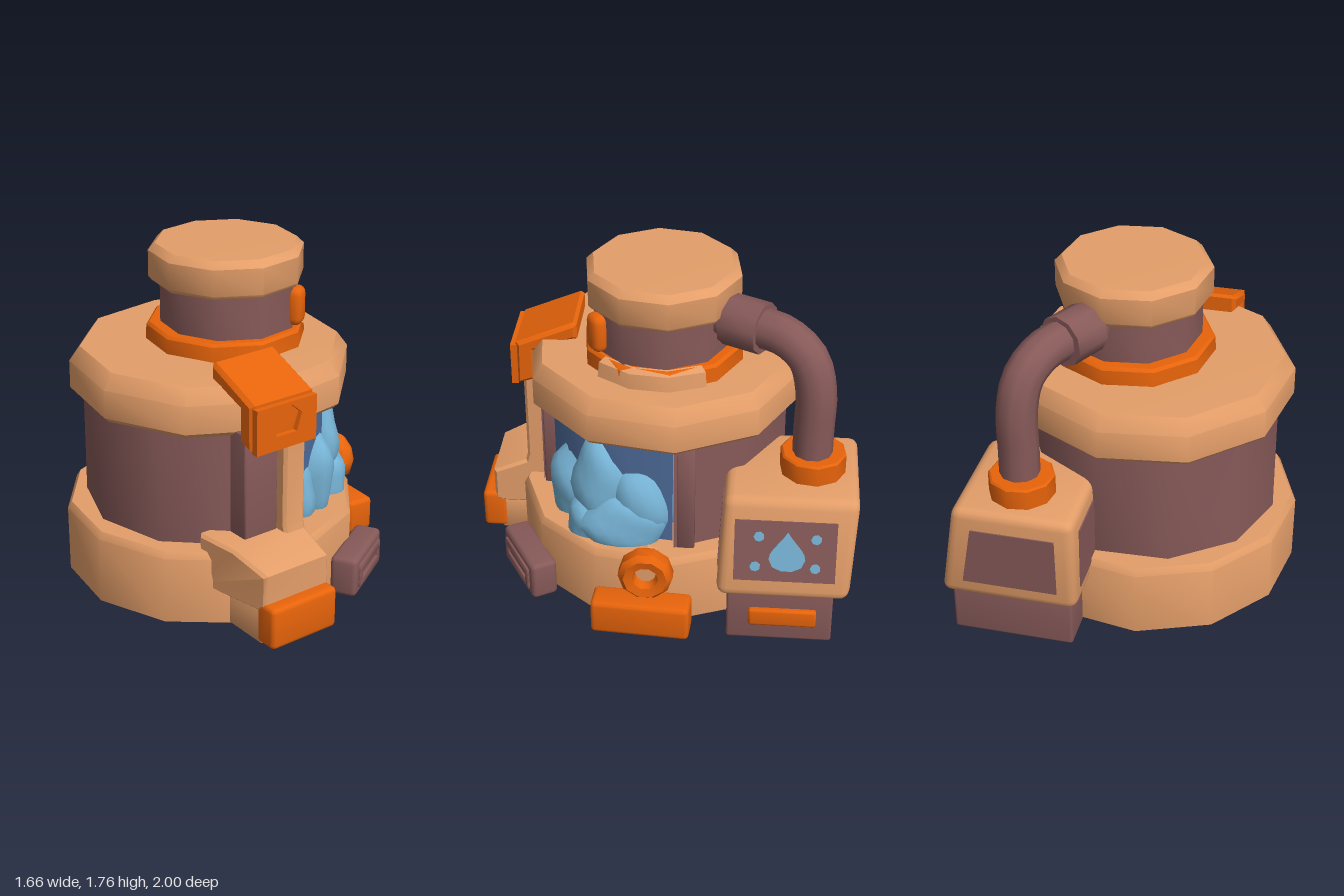
import * as THREE from 'three';
import { toCreasedNormals } from 'three/addons/utils/BufferGeometryUtils.js';
import { RoundedBoxGeometry } from 'three/addons/geometries/RoundedBoxGeometry.js';

const paint = (name, color, side = THREE.FrontSide) => {
  const m = new THREE.MeshStandardMaterial({ color, side });
  m.name = name;
  return m;
};
const rad = THREE.MathUtils.degToRad;

export function createModel() {
  const tan = paint('tan', 0xe49e69);
  const orange = paint('orange', 0xe8640b);
  const brown = paint('brown', 0x875a59);
  const brownWall = paint('brownWall', 0x875a59, THREE.DoubleSide);
  const ice = paint('iceBlue', 0x77b4d6);
  const deepBlue = paint('deepBlue', 0x506e9e);
  const model = new THREE.Group();

  const add = (name, geo, mat, x = 0, y = 0, z = 0, parent = model) => {
    const mesh = new THREE.Mesh(toCreasedNormals(geo, 0.7), mat);
    mesh.name = name;
    mesh.position.set(x, y, z);
    parent.add(mesh);
    return mesh;
  };
  const box = (name, mat, w, h, d, x, y, z, r = 0.025, parent = model) =>
    add(name, r ? new RoundedBoxGeometry(w, h, d, 2, r) : new THREE.BoxGeometry(w, h, d), mat, x, y, z, parent);
  // Many-sided turned part from [radius, y] points, listed bottom to top
  const turned = (name, mat, pts, x, z, start = 26, sweep = 360, sides = 10) =>
    add(name, new THREE.LatheGeometry(pts.map(p => new THREE.Vector2(...p)), sides, rad(start), rad(sweep)), mat, x, 0, z);
  // Side profile of [z, y] points extruded from x0 to x1
  const sideProfile = (pts, x0, x1, bevel = 0.015) => {
    const shape = new THREE.Shape(pts.map(p => new THREE.Vector2(...p)));
    const g = new THREE.ExtrudeGeometry(shape, {
      depth: x1 - x0 - 2 * bevel, bevelEnabled: true, bevelSize: bevel, bevelThickness: bevel, bevelOffset: -bevel, bevelSegments: 1
    });
    return g.rotateY(-Math.PI / 2).translate(x1 - bevel, 0, 0);
  };

  // Main vessel
  const cx = -0.08;
  turned('base', tan, [[0, 0.02], [0.755, 0.02], [0.757, 0.37], [0.735, 0.405], [0, 0.405]], cx, 0, 6, 360, 12);
  turned('shoulderRing', tan, [[0, 1.0], [0.69, 1.0], [0.715, 1.025], [0.715, 1.17], [0.66, 1.245], [0, 1.255]], cx, 0);
  turned('bodyWall', brownWall, [[0.65, 0.38], [0.65, 1.02]], cx, 0, 98, 270, 8);
  turned('collar', orange, [[0, 1.22], [0.41, 1.22], [0.405, 1.325], [0.39, 1.34], [0, 1.34]], 0.02, 0);
  turned('collarGuard', tan, [[0.38, 1.22], [0.425, 1.22], [0.412, 1.325], [0.37, 1.343]], 0.02, 0, 44, 80, 3);
  turned('neck', brown, [[0, 1.3], [0.352, 1.3], [0.352, 1.6], [0, 1.6]], 0.035, 0.01);
  turned('cap', tan, [[0, 1.56], [0.38, 1.56], [0.395, 1.58], [0.395, 1.715], [0.36, 1.75], [0, 1.757]], 0.025, 0);

  // Curved window between two posts
  turned('window', deepBlue, [[0.59, 0.39], [0.59, 1.01]], cx, 0, 8, 90, 3);
  box('frontPost', brown, 0.07, 0.62, 0.08, -0.005, 0.7, 0.595, 0.01);
  box('sidePost', brown, 0.07, 0.62, 0.09, 0.525, 0.7, -0.15, 0.01);
  add('windowSpot', new THREE.CylinderGeometry(0.032, 0.032, 0.02, 7).rotateX(Math.PI / 2), brown, 0.218, 0.88, 0.472)
    .rotation.y = rad(38);

  // Ice boulders bulging through the window
  const boulder = (x, y, z, sx, sy, sz, seed) => {
    const g = new THREE.IcosahedronGeometry(1, 3), p = g.attributes.position;
    for (let i = 0; i < p.count; i++) {
      const a = p.getX(i), b = p.getY(i), c = p.getZ(i);
      const k = 1 + 0.06 * Math.sin(4.1 * a + seed) + 0.06 * Math.sin(5.3 * b - 3 * c + seed * 2);
      p.setXYZ(i, a * k * sx, b * k * sy, c * k * sz);
    }
    add('iceBoulder', g, ice, x, y, z);
  };
  boulder(0.23, 0.56, 0.41, 0.14, 0.27, 0.155, 1);
  boulder(0.13, 0.48, 0.45, 0.1, 0.22, 0.12, 2.7);
  boulder(0.39, 0.66, 0.27, 0.13, 0.28, 0.16, 2.2);
  boulder(0.42, 0.59, 0.08, 0.13, 0.27, 0.18, 3.4);
  boulder(0.45, 0.48, 0.17, 0.13, 0.18, 0.23, 5);
  boulder(0.4, 0.45, 0.33, 0.14, 0.17, 0.13, 0.4);

  // Front brace: foot, post, toe and clasp
  const foot = sideProfile([[0.5, 0.2], [0.93, 0.2], [0.93, 0.4], [0.74, 0.48], [0.5, 0.48]], -0.52, -0.05);
  const fp = foot.attributes.position;
  for (let i = 0; i < fp.count; i++) {
    if (fp.getX(i) < -0.3) fp.setX(i, fp.getX(i) + 0.28 * Math.max(0, fp.getZ(i) - 0.65));
  }
  add('braceFoot', foot, tan);
  box('braceUnder', tan, 0.38, 0.22, 0.4, -0.25, 0.13, 0.7, 0.01);
  add('bracePost', sideProfile([[0.5, 0.44], [0.76, 0.44], [0.74, 0.52], [0.74, 1.03], [0.5, 1.03]], -0.18, -0.05), tan);
  box('bracePanel', brown, 0.2, 0.58, 0.2, -0.28, 0.74, 0.585, 0.01);
  box('braceToe', orange, 0.4, 0.22, 0.13, -0.25, 0.14, 0.935);
  add('clasp', sideProfile([[0.67, 1.0], [0.77, 0.97], [0.77, 1.215], [0.47, 1.34], [0.45, 1.33], [0.45, 1.25], [0.67, 1.17]], -0.41, -0.03, 0.02), orange);
  const plate = new THREE.Shape([[-0.18, -0.12], [0.18, -0.12], [0.18, 0.11], [-0.18, 0.11]].map(p => new THREE.Vector2(...p)));
  plate.holes.push(new THREE.Path([[-0.06, -0.05], [-0.09, 0.04], [-0.03, 0.09], [0.03, 0.09], [0.09, 0.04], [0.06, -0.05]]
    .map(p => new THREE.Vector2(...p))));
  add('claspPlate', new THREE.ExtrudeGeometry(plate, { depth: 0.035, bevelEnabled: false }), orange, -0.22, 1.09, 0.763);

  // Angled feet around the base
  const brownFoot = new THREE.Group();
  brownFoot.name = 'brownFoot';
  brownFoot.position.set(0.352, 0.125, 0.68);
  brownFoot.rotation.y = rad(30);
  model.add(brownFoot);
  box('footBlock', brown, 0.41, 0.21, 0.14, 0, 0, 0, 0.025, brownFoot);
  for (const s of [-1, 1]) {
    box('footSlotRail', brown, 0.32, 0.05, 0.03, 0, 0.04 * s, 0.068, 0.01, brownFoot);
    box('footSlotEnd', brown, 0.04, 0.13, 0.03, 0.14 * s, 0, 0.068, 0.01, brownFoot);
  }
  box('sideFoot', orange, 0.155, 0.19, 0.5, 0.735, 0.115, 0.06).rotation.y = rad(-4);

  // Side nozzle ring
  const ring = new THREE.LatheGeometry([[0.05, 0], [0.115, -0.05], [0.137, -0.02], [0.137, 0.04], [0.11, 0.07], [0.065, 0.06], [0.05, 0]]
    .map(p => new THREE.Vector2(...p)), 10);
  add('nozzleRing', ring.rotateZ(-Math.PI / 2), orange, 0.73, 0.375, 0.035);
  add('nozzleCore', new THREE.CylinderGeometry(0.06, 0.07, 0.14, 8).rotateZ(-Math.PI / 2), tan, 0.67, 0.375, 0.035);

  // Neck knob
  box('neckKnob', orange, 0.115, 0.2, 0.085, 0.225, 1.45, 0.31, 0.04).rotation.y = rad(35);

  // Side console, narrower at the top
  const shell = new RoundedBoxGeometry(0.7, 0.54, 0.66, 2, 0.05), sp = shell.attributes.position;
  for (let i = 0; i < sp.count; i++) {
    const t = (sp.getY(i) + 0.27) / 0.54;
    if (sp.getX(i) > 0) sp.setX(i, sp.getX(i) - 0.09 * t);
    sp.setZ(i, sp.getZ(i) - 0.03 * t);
  }
  add('consoleShell', shell, tan, 0.435, 0.55, -0.645);
  box('consoleBase', brown, 0.62, 0.32, 0.53, 0.44, 0.16, -0.635, 0.015);
  box('consoleBar', orange, 0.04, 0.1, 0.34, 0.755, 0.15, -0.65, 0.015);

  // Brown panels on the plain console sides
  const panel = new THREE.Shape([[-0.24, -0.17], [0.24, -0.17], [0.18, 0.16], [-0.24, 0.16]].map(p => new THREE.Vector2(...p)));
  const panelGeo = new THREE.ExtrudeGeometry(panel, { depth: 0.009, bevelEnabled: false });
  add('consoleFrontPanel', panelGeo, brown, 0.42, 0.55, -0.333).rotation.x = -0.055;
  add('consoleBackPanel', panelGeo, brown, 0.42, 0.55, -0.996).rotation.x = -0.055;
  box('consoleInnerPanel', brown, 0.009, 0.34, 0.48, 0.083, 0.55, -0.655, 0);

  // Screen with a drop and four flecks
  const screen = new THREE.Group();
  screen.name = 'screen';
  screen.position.set(0.742, 0.55, -0.65);
  screen.rotation.z = 0.165;
  model.add(screen);
  box('screenPlate', brown, 0.009, 0.33, 0.5, 0, 0, 0, 0, screen);
  const drop = new THREE.Shape();
  drop.moveTo(0, 0.12);
  drop.bezierCurveTo(0.03, 0.06, 0.09, 0.02, 0.09, -0.03);
  drop.bezierCurveTo(0.09, -0.12, -0.09, -0.12, -0.09, -0.03);
  drop.bezierCurveTo(-0.09, 0.02, -0.03, 0.06, 0, 0.12);
  const dropGeo = new THREE.ExtrudeGeometry(drop, { depth: 0.008, bevelEnabled: false, curveSegments: 5 }).rotateY(Math.PI / 2);
  add('drop', dropGeo, ice, 0.002, -0.01, -0.01, screen);
  for (const [y, z] of [[0.08, 0.13], [0.075, -0.15], [-0.085, 0.145], [-0.085, -0.15]]) {
    add('fleck', new THREE.CylinderGeometry(0.027, 0.027, 0.008, 7).rotateZ(Math.PI / 2), ice, 0.005, y, z, screen);
  }

  // Pipe from console to neck
  const path = new THREE.CatmullRomCurve3([[0.41, 0.82, -0.765], [0.41, 1.05, -0.765], [0.41, 1.28, -0.765], [0.385, 1.44, -0.72],
    [0.325, 1.52, -0.61], [0.25, 1.53, -0.47], [0.15, 1.53, -0.28]].map(p => new THREE.Vector3(...p)));
  add('pipe', new THREE.TubeGeometry(path, 20, 0.1, 10), brown);
  const flange = add('pipeFlange', new THREE.CylinderGeometry(0.13, 0.13, 0.2, 10), brown, 0.22, 1.525, -0.42);
  flange.quaternion.setFromUnitVectors(new THREE.Vector3(0, 1, 0), new THREE.Vector3(-0.45, 0, 0.89).normalize());
  turned('pipeSocket', orange, [[0, 0.8], [0.165, 0.8], [0.165, 0.92], [0.155, 0.93], [0, 0.93]], 0.4, -0.77);

  return model;
}
